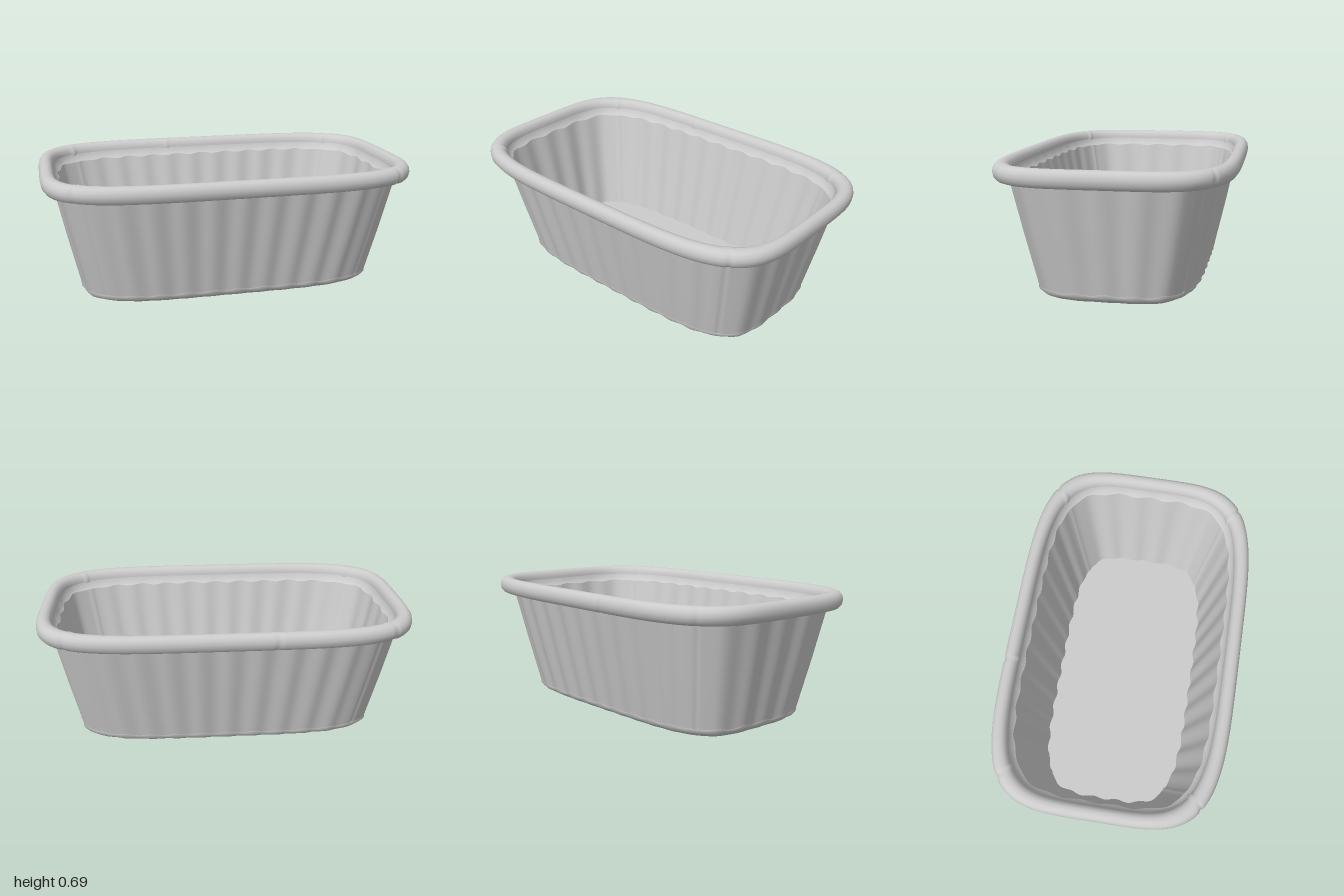
import * as THREE from 'three';

const SEGMENTS = 480;
const POWER = 4.3; // squareness of the rounded-rectangle outline
const HALF_X = 0.93, HALF_Z = 0.55; // outer wall just under the rim

// Shallow waves along the straight sides, fading out at the corners
function flute(px, pz) {
  const along = Math.abs(px) < Math.abs(pz);
  const s = along ? px : pz;
  const pitch = along ? 0.17 : 0.34;
  const fade = 1 - THREE.MathUtils.smoothstep(Math.abs(s), 0.68, 0.88);
  return fade * Math.cos((2 * Math.PI * s) / pitch);
}

// Narrow groove at a set of outline angles
function groove(t, angles) {
  let g = 0;
  for (const a of angles) g = Math.max(g, 1 - Math.abs(t - a) / 0.016);
  return g;
}

const CORNERS = [0.78, 2.37, 3.92, 5.49];
const RIM_SEAMS = [...CORNERS, 4.48];

// Loft rings { d: outward offset, y, wave, lift, scale } around the outline.
// Listed from base centre, up the outside, over the rim and down the inside.
function loft(name, rings, seams = [], seamDepth = 0) {
  const pos = [], index = [];
  for (const { d = 0, y, wave = 0, lift = 0, scale = 1 } of rings) {
    for (let j = 0; j < SEGMENTS; j++) {
      const t = (j / SEGMENTS) * Math.PI * 2;
      const c = Math.cos(t), s = Math.sin(t);
      const r = Math.pow(Math.abs(c) ** POWER + Math.abs(s) ** POWER, -1 / POWER);
      const f = flute(r * c, r * s);
      const off = d + wave * f - seamDepth * groove(t, seams);
      pos.push(r * c * (HALF_X + off) * scale, y + lift * f, r * s * (HALF_Z + off) * scale);
    }
  }
  for (let i = 0; i < rings.length - 1; i++) {
    for (let j = 0; j < SEGMENTS; j++) {
      const k = (j + 1) % SEGMENTS;
      const a = i * SEGMENTS + j, b = i * SEGMENTS + k;
      const e = a + SEGMENTS, f = b + SEGMENTS;
      index.push(a, e, b, b, e, f);
    }
  }
  const geo = new THREE.BufferGeometry();
  geo.setAttribute('position', new THREE.Float32BufferAttribute(pos, 3));
  geo.setIndex(index);
  geo.computeVertexNormals();
  const mesh = new THREE.Mesh(
    geo,
    new THREE.MeshStandardMaterial({ color: 0xcccccc, side: THREE.DoubleSide })
  );
  mesh.name = name;
  return mesh;
}

export function createModel() {
  const pan = new THREE.Group();
  pan.name = 'loafPan';

  // Flat underside
  pan.add(loft('underside', [
    { d: -0.2, y: 0, scale: 0 },
    { d: -0.2, y: 0 },
  ]));

  // Rounded, scalloped foot between underside and wall
  pan.add(loft('foot', [
    { d: -0.2, y: 0 },
    { d: -0.165, y: 0.008, wave: 0.002 },
    { d: -0.135, y: 0.025, wave: 0.004 },
    { d: -0.122, y: 0.04, wave: 0.005, lift: 0.003 },
    { d: -0.122, y: 0.055, wave: 0.006, lift: 0.006 },
  ]));

  // Tapered fluted outside wall
  pan.add(loft('outerWall', [
    { d: -0.122, y: 0.055, wave: 0.006, lift: 0.006 },
    { d: -0.06, y: 0.33, wave: 0.006 },
    { d: 0, y: 0.61, wave: 0.006 },
  ], CORNERS, 0.006));

  // Rolled rim
  pan.add(loft('rim', [
    [-0.01, 0.6], [0.035, 0.598], [0.054, 0.605], [0.066, 0.622], [0.07, 0.645],
    [0.066, 0.666], [0.056, 0.681], [0.042, 0.689], [0.024, 0.69], [0.009, 0.684],
    [-0.003, 0.671], [-0.009, 0.652], [-0.01, 0.635],
  ].map(([d, y]) => ({ d, y })), RIM_SEAMS, 0.008));

  // Narrow ledge under the rim on the inside
  pan.add(loft('innerLip', [
    { d: -0.01, y: 0.64 },
    { d: -0.018, y: 0.615 },
    { d: -0.034, y: 0.6, wave: 0.005, lift: 0.004 },
  ]));

  // Fluted inside wall
  pan.add(loft('innerWall', [
    { d: -0.034, y: 0.6, wave: 0.005, lift: 0.004 },
    { d: -0.093, y: 0.32, wave: 0.006 },
    { d: -0.155, y: 0.035, wave: 0.006 },
  ], CORNERS, 0.004));

  // Inside floor
  pan.add(loft('floor', [
    { d: -0.155, y: 0.035, wave: 0.006 },
    { d: -0.155, y: 0.035, scale: 0 },
  ]));

  return pan;
}
